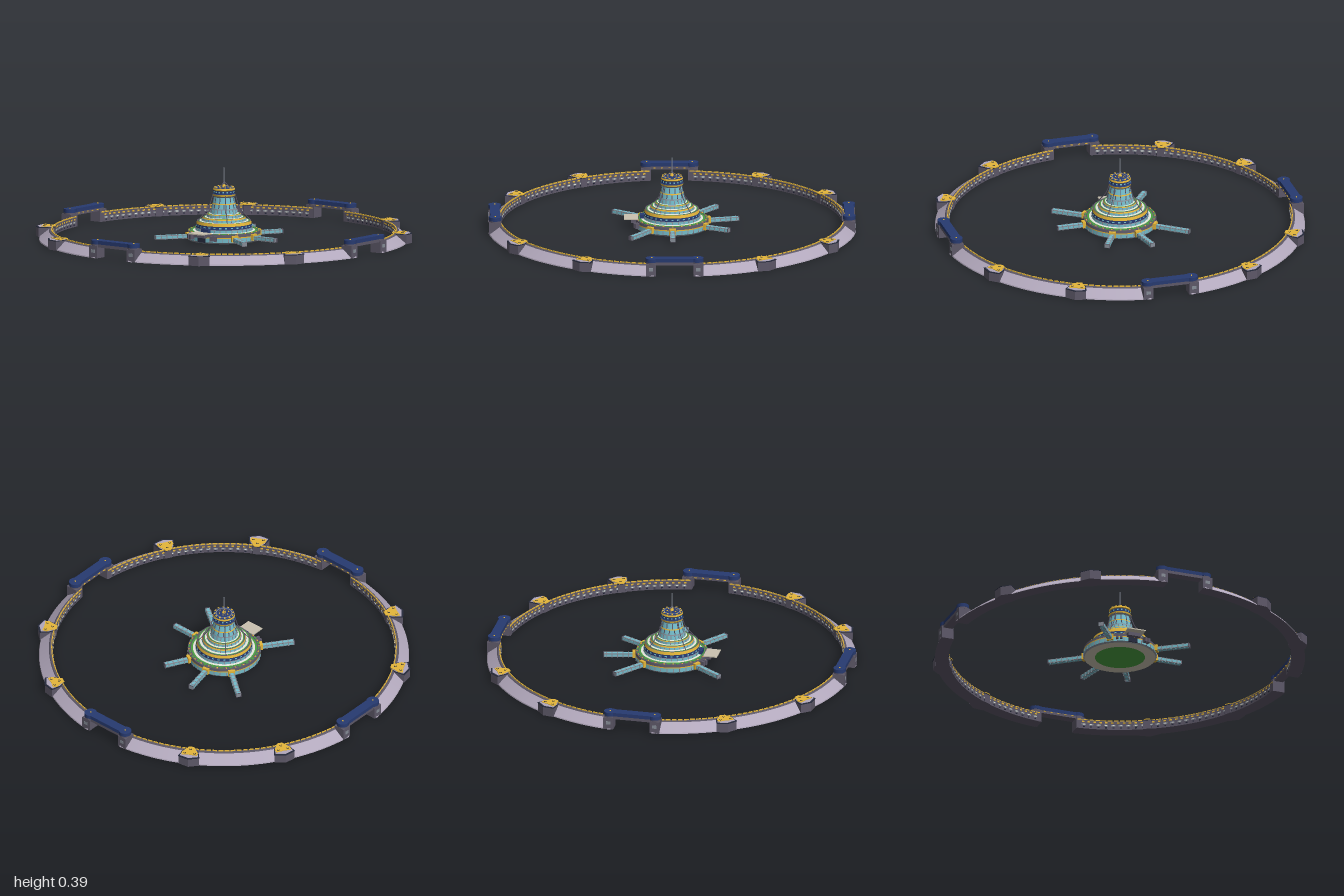
import * as THREE from 'three';
import { mergeGeometries } from 'three/addons/utils/BufferGeometryUtils.js';

const mat = (name, color) => {
  const m = new THREE.MeshStandardMaterial({ color, side: THREE.DoubleSide });
  m.name = name;
  return m;
};

export function createModel() {
  const lavender = mat('lavender wall', 0xb2a8bc);
  const dark = mat('dark metal', 0x5d5868);
  const navy = mat('navy', 0x273a70);
  const gold = mat('gold', 0xe4b63a);
  const cyan = mat('cyan glass', 0x74bccb);
  const pale = mat('pale deck', 0xe4e6dc);
  const green = mat('garden green', 0x4aa040);
  const beige = mat('beige pad', 0xcac2b0);
  const steel = mat('steel', 0x868d97);
  const black = mat('blue black', 0x252a3c);
  const root = new THREE.Group();
  root.name = 'ringStation';
  const rad = THREE.MathUtils.degToRad;

  const add = (parent, name, geo, material, x = 0, y = 0, z = 0) => {
    const m = new THREE.Mesh(geo, material);
    m.name = name;
    m.position.set(x, y, z);
    parent.add(m);
    return m;
  };
  const box = (p, name, m, w, h, d, x, y, z) => add(p, name, new THREE.BoxGeometry(w, h, d), m, x, y, z);
  const cyl = (p, name, m, r0, r1, h, x, y, z, n = 16) =>
    add(p, name, new THREE.CylinderGeometry(r1, r0, h, n), m, x, y, z);
  // Surface of revolution between two profile points; upward faces outward
  const band = (p, name, m, r0, y0, r1, y1, start = 0, len = 360, n = 64) =>
    add(p, name, new THREE.LatheGeometry(
      [new THREE.Vector2(r0, y0), new THREE.Vector2(r1, y1)], n, rad(start), rad(len)), m);
  // Group whose +z points outward at an angle measured from the front
  const spoke = (p, name, deg) => {
    const g = new THREE.Group();
    g.name = name;
    g.rotation.y = rad(deg);
    p.add(g);
    return g;
  };
  // Many small boxes at one radius, merged into one mesh
  const boxRing = (p, name, m, angles, r, y, w, h, d, tilt = 0) => add(p, name, mergeGeometries(
    angles.map(a => new THREE.BoxGeometry(w, h, d).rotateX(tilt).translate(0, y, r).rotateY(rad(a)))), m);
  const steps = (n, start = 0, len = 360) => Array.from({ length: n }, (_, i) => start + (i + 0.5) * len / n);
  // Horizontal plate mirrored about its radial axis, from [half width, radius] points
  const plate = (p, name, m, pts, y, h) => {
    const s = new THREE.Shape([...pts, ...pts.slice().reverse().map(([x, r]) => [-x, r])]
      .map(([x, r]) => new THREE.Vector2(x, -r)));
    return add(p, name, new THREE.ExtrudeGeometry(s, { depth: h, bevelEnabled: false }).rotateX(-Math.PI / 2), m, 0, y, 0);
  };

  // Perimeter wall: four arcs with a sloping outer face
  const wall = new THREE.Group();
  wall.name = 'perimeterWall';
  root.add(wall);
  for (let q = 0; q < 4; q++) {
    const s = q * 90 + 6.5, l = 77;
    const section = [
      ['wallBase', dark, 0.926, 0, 1, 0], ['outerFoot', lavender, 1, 0, 0.998, 0.006],
      ['outerSlope', lavender, 0.998, 0.006, 0.946, 0.046], ['parapet', dark, 0.946, 0.046, 0.941, 0.051],
      ['walkway', dark, 0.941, 0.051, 0.926, 0.05], ['innerWall', dark, 0.926, 0.05, 0.926, 0],
    ];
    section.forEach(([n, m, ...pts]) => band(wall, n, m, ...pts, s, l, 40));
    boxRing(wall, 'goldRail', gold, steps(38, s, l), 0.931, 0.053, 0.026, 0.007, 0.005);
    boxRing(wall, 'innerLamps', gold, steps(38, s + 1, l - 2), 0.926, 0.04, 0.014, 0.008, 0.004);
    boxRing(wall, 'innerWindows', steel, steps(30, s + 1, l - 2), 0.926, 0.024, 0.024, 0.009, 0.004);
    boxRing(wall, 'innerLights', pale, steps(30, s + 1, l - 2), 0.9255, 0.024, 0.011, 0.005, 0.005);
    boxRing(wall, 'innerSlots', black, steps(30, s + 1, l - 2), 0.926, 0.011, 0.01, 0.006, 0.004);
  }

  // Eight pointed bastions
  for (let k = 0; k < 12; k++) {
    if (k % 3 === 0) continue;
    const b = spoke(root, 'bastion', k * 30);
    plate(b, 'bastionBody', dark, [[0, 0.922], [0.02, 0.922], [0.042, 0.95], [0.057, 1.003], [0, 1.024]], 0, 0.05);
    plate(b, 'bastionRim', black, [[0, 0.92], [0.02, 0.92], [0.043, 0.95], [0.059, 1.004], [0, 1.026]], 0.05, 0.003);
    plate(b, 'bastionDeck', lavender, [[0, 0.925], [0.018, 0.925], [0.039, 0.953], [0.05, 0.998], [0, 1.016]], 0.053, 0.002);
    plate(b, 'goldDeck', gold, [[0, 0.918], [0.015, 0.918], [0.026, 0.942], [0.044, 0.968], [0.042, 0.992], [0, 0.988]], 0.053, 0.005);
    for (const [x, z] of [[0, 0.943], [-0.027, 0.977], [0.027, 0.977]]) {
      cyl(b, 'turretBase', black, 0.007, 0.007, 0.002, x, 0.059, z, 10);
      cyl(b, 'turret', gold, 0.005, 0.005, 0.003, x, 0.0605, z, 10);
    }
  }

  // Four gates bridging the gaps
  for (let k = 0; k < 4; k++) {
    const g = spoke(root, 'gate', k * 90);
    for (const s of [-1, 1]) {
      box(g, 'gatePillar', dark, 0.054, 0.068, 0.066, s * 0.128, 0.034, 0.957);
      box(g, 'pillarPanel', steel, 0.024, 0.018, 0.069, s * 0.128, 0.038, 0.957);
      cyl(g, 'pillarNeck', dark, 0.033, 0.033, 0.01, s * 0.123, 0.071, 0.957, 20);
      cyl(g, 'pillarCap', navy, 0.034, 0.034, 0.02, s * 0.123, 0.086, 0.957, 20);
      cyl(g, 'capBeacon', gold, 0.004, 0.004, 0.003, s * 0.123, 0.0975, 0.957, 10);
    }
    box(g, 'gateBeam', navy, 0.23, 0.02, 0.052, 0, 0.086, 0.957);
    box(g, 'beamUnderside', dark, 0.23, 0.017, 0.051, 0, 0.068, 0.957);
    boxRing(g, 'beamLights', gold, [-5, -2.5, 0, 2.5, 5], 0.931, 0.07, 0.012, 0.004, 0.004);
  }

  // Central tower: stacked rings from the underside to the cap
  const tower = new THREE.Group();
  tower.name = 'tower';
  root.add(tower);
  const profile = [
    [0.135, 0, green], [0.192, 0, beige], [0.198, 0.008, steel], [0.198, 0.03, cyan], [0.198, 0.036, gold],
    [0.196, 0.05, dark], [0.178, 0.052, dark], [0.168, 0.052, green], [0.154, 0.053, pale],
    [0.153, 0.066, cyan], [0.152, 0.07, steel], [0.15, 0.088, navy], [0.146, 0.104, gold],
    [0.139, 0.104, dark], [0.133, 0.104, green], [0.12, 0.105, pale], [0.118, 0.117, cyan], [0.115, 0.124, gold],
    [0.109, 0.124, dark], [0.104, 0.124, green], [0.093, 0.125, pale], [0.092, 0.139, cyan], [0.09, 0.143, gold],
    [0.086, 0.143, dark], [0.081, 0.143, green], [0.074, 0.144, pale], [0.07, 0.166, cyan], [0.068, 0.172, steel],
    [0.063, 0.195, cyan], [0.061, 0.201, gold],
    [0.054, 0.232, cyan], [0.06, 0.24, steel], [0.062, 0.249, gold], [0.056, 0.252, navy],
    [0.056, 0.269, navy], [0.06, 0.273, gold], [0.058, 0.282, gold], [0.045, 0.286, navy],
    [0.04, 0.286, steel], [0, 0.29, navy],
  ];
  let prev = [0, 0];
  for (const [r, y, m] of profile) {
    band(tower, 'towerTier', m, prev[0], prev[1], r, y);
    prev = [r, y];
  }
  // Window mullions: material, count, radius, height, size
  for (const [m, n, r, y, h] of [[steel, 36, 0.198, 0.019, 0.022], [steel, 30, 0.1535, 0.06, 0.012],
    [steel, 28, 0.119, 0.111, 0.012], [steel, 24, 0.0925, 0.132, 0.014], [steel, 20, 0.072, 0.156, 0.02],
    [dark, 14, 0.066, 0.184, 0.022], [dark, 12, 0.0575, 0.216, 0.03]])
    boxRing(tower, 'mullions', m, steps(n), r, y, 0.005, h, 0.003, -0.18);
  boxRing(tower, 'rimPlots', green, steps(24), 0.187, 0.053, 0.018, 0.003, 0.008);
  boxRing(tower, 'rimLamps', gold, steps(24, 7.5), 0.189, 0.053, 0.008, 0.004, 0.006);
  boxRing(tower, 'navyWindows', cyan, steps(30), 0.151, 0.079, 0.012, 0.006, 0.003, -0.11);
  boxRing(tower, 'capLights', gold, steps(12), 0.051, 0.286, 0.009, 0.004, 0.008);
  boxRing(tower, 'innerCapLights', gold, steps(6), 0.026, 0.289, 0.006, 0.003, 0.006);
  boxRing(tower, 'capWindows', cyan, steps(16), 0.056, 0.261, 0.009, 0.007, 0.003);

  // Four slanting buttress ribs
  const ribPath = new THREE.CatmullRomCurve3([[0.061, 0.245], [0.074, 0.2], [0.09, 0.165], [0.112, 0.138], [0.142, 0.104]]
    .map(([r, y]) => new THREE.Vector3(0, y, r)));
  for (const a of steps(4)) add(spoke(tower, 'rib', a), 'ribTube', new THREE.TubeGeometry(ribPath, 14, 0.0025, 6), dark);

  // Mast with tripod
  cyl(tower, 'mast', steel, 0.003, 0.002, 0.105, 0, 0.3375, 0, 8);
  cyl(tower, 'mastFoot', gold, 0.012, 0.006, 0.012, 0, 0.294, 0, 12);
  const leg = new THREE.LineCurve3(new THREE.Vector3(0, 0.285, 0.033), new THREE.Vector3(0, 0.313, 0.002));
  for (const a of [0, 120, 240])
    add(spoke(tower, 'mastLeg', a), 'mastLegTube', new THREE.TubeGeometry(leg, 1, 0.002, 6), dark);

  // Docking arms of differing length: tip x, tip z
  for (const [x, z] of [[-0.32, -0.247], [-0.078, -0.363], [0.162, -0.306], [0.354, 0], [0.316, 0.227], [-0.23, 0.314]]) {
    const a = spoke(root, 'dockingArm', THREE.MathUtils.radToDeg(Math.atan2(x, z)));
    const end = Math.hypot(x, z), len = end - 0.19, mid = (end + 0.19) / 2;
    box(a, 'armTube', steel, 0.026, 0.02, len, 0, 0.025, mid);
    box(a, 'armGlass', cyan, 0.016, 0.022, len - 0.012, 0, 0.025, mid);
    box(a, 'armSideGlass', cyan, 0.028, 0.012, len - 0.012, 0, 0.025, mid);
    for (let d = 0.235; d < end - 0.01; d += 0.03) box(a, 'armHoop', steel, 0.029, 0.023, 0.005, 0, 0.025, d);
    box(a, 'armCollar', gold, 0.036, 0.034, 0.02, 0, 0.029, 0.203);
    box(a, 'armTip', dark, 0.029, 0.024, 0.004, 0, 0.025, end - 0.002);
  }

  // Front landing pad and entrance
  box(root, 'landingPad', beige, 0.1, 0.006, 0.075, 0, 0.056, 0.222);
  box(root, 'padSupport', dark, 0.07, 0.02, 0.035, 0, 0.043, 0.205);
  box(root, 'entrance', black, 0.05, 0.026, 0.012, 0, 0.018, 0.195);
  box(root, 'entranceHead', navy, 0.05, 0.02, 0.02, 0, 0.064, 0.162);
  for (const s of [-1, 1])
    for (const a of [19, 25])
      box(spoke(root, 'sideClamp', s * a), 'clampArm', dark, 0.014, 0.026, 0.034, 0, 0.03, 0.205);
  return root;
}
